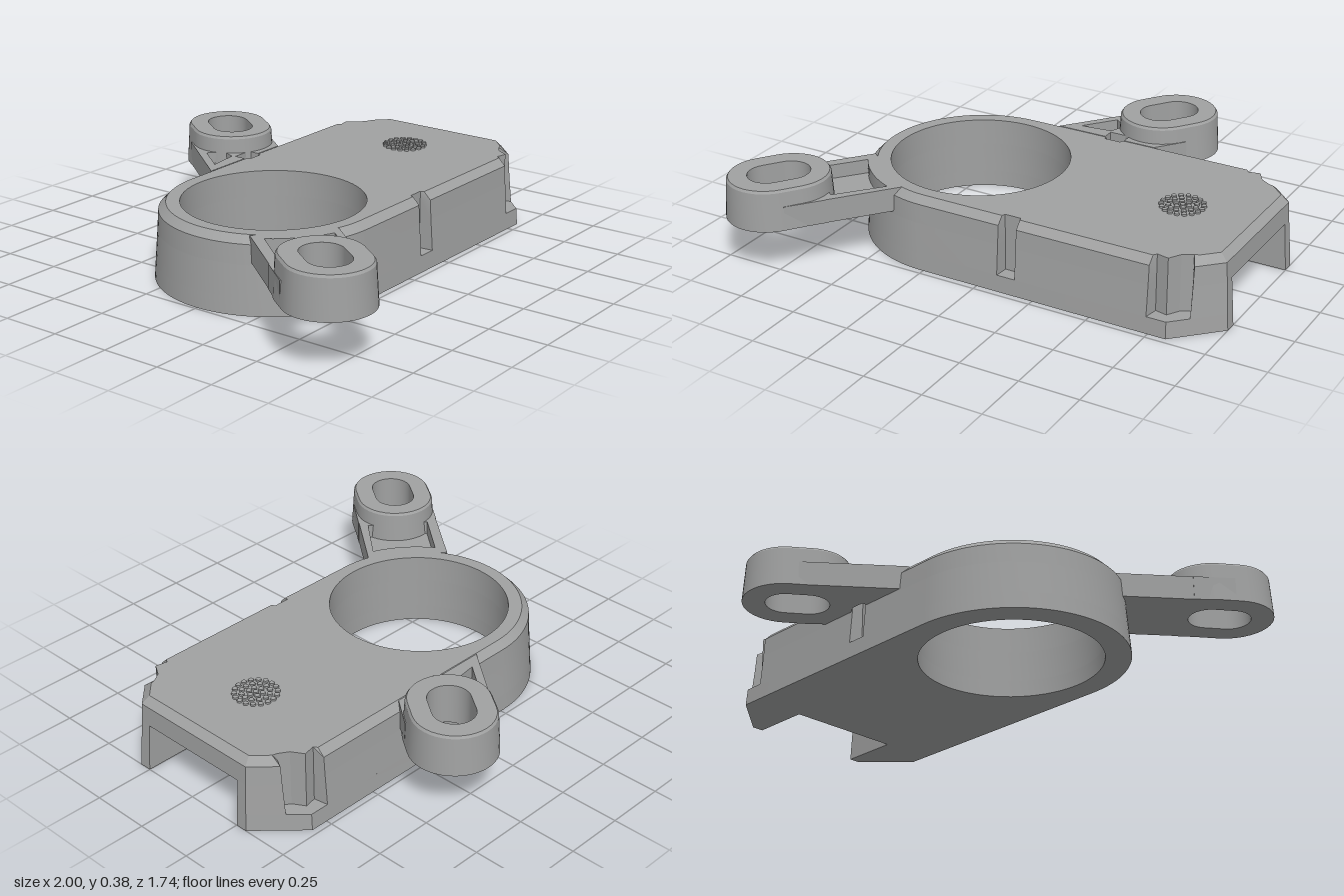
import * as THREE from 'three';
import { toCreasedNormals } from 'three/addons/utils/BufferGeometryUtils.js';

const grey = new THREE.MeshStandardMaterial({ color: 0xa0a1a1 });
grey.name = 'plain grey';

const RING_X = -0.265, RING_R = 0.475, BORE_R = 0.37;

function oriented(pts, ccw) {
  const v = pts.map(([x, z]) => new THREE.Vector2(x, z));
  return THREE.ShapeUtils.isClockWise(v) === ccw ? v.reverse() : v;
}

// Solid from stacked outlines [{ y, outline, hole }] in the x-z plane, capped at both ends
function loft(name, layers) {
  const pos = [];
  const rings = layers.map(l => ({
    y: l.y,
    loops: [oriented(l.outline, true), ...(l.hole ? [oriented(l.hole, false)] : [])],
  }));
  const put = (p, y) => pos.push(p.x, y, p.y);
  for (let k = 0; k + 1 < rings.length; k++) {
    const lo = rings[k], hi = rings[k + 1];
    lo.loops.forEach((loop, h) => loop.forEach((a, i) => {
      const j = (i + 1) % loop.length, b = loop[j];
      const a1 = hi.loops[h][i], b1 = hi.loops[h][j];
      put(a, lo.y); put(a1, hi.y); put(b1, hi.y);
      put(a, lo.y); put(b1, hi.y); put(b, lo.y);
    }));
  }
  for (const [ring, up] of [[rings[0], false], [rings[rings.length - 1], true]]) {
    const all = ring.loops.flat();
    for (const f of THREE.ShapeUtils.triangulateShape(ring.loops[0], ring.loops.slice(1))) {
      const [a, b, c] = f.map(i => all[i]);
      const ccw = (b.x - a.x) * (c.y - a.y) - (b.y - a.y) * (c.x - a.x) > 0;
      (ccw === up ? [a, c, b] : [a, b, c]).forEach(p => put(p, ring.y));
    }
  }
  const geo = new THREE.BufferGeometry();
  geo.setAttribute('position', new THREE.Float32BufferAttribute(pos, 3));
  const mesh = new THREE.Mesh(toCreasedNormals(geo, 0.4), grey);
  mesh.name = name;
  return mesh;
}

function arc(cx, cz, r, from, to, n) {
  return Array.from({ length: n + 1 }, (_, i) => {
    const t = from + (to - from) * i / n;
    return [cx + r * Math.cos(t), cz + r * Math.sin(t)];
  });
}

// Body outline moved inward by o, with optional side notches and end slot
function bodyOutline(o, notched, slotted) {
  const side = RING_R - o;
  const half = [];
  if (slotted) half.push([0.75, 0.25], [1 - o, 0.25]);
  half.push([1 - o, 0.3 - 0.414 * o]);
  if (notched) {
    half.push([0.89, 0.41 - 1.414 * o], [0.87, 0.345], [0.83, 0.37], [0.8, 0.42],
      [0.75, 0.41], [0.74, side],
      [0.17, side], [0.165, 0.41], [0.095, 0.41], [0.09, side]);
  } else half.push([0.825 - 0.414 * o, side]);
  half.push(...arc(RING_X, 0, side, Math.PI / 2, Math.PI, 24));
  const mirror = half.slice(0, -1).reverse().map(([x, z]) => [x, -z]);
  return [...half, ...mirror];
}

function bodySlab(name, steps, notched, slotted) {
  const hole = arc(RING_X, 0, BORE_R, 0, Math.PI * 2, 64).slice(0, -1);
  return loft(name, steps.map(([y, o]) => ({ y, outline: bodyOutline(o, notched, slotted), hole })));
}

// Rounded slot outline around two centres
function stadium([ax, az], [bx, bz], r) {
  const t = Math.atan2(bz - az, bx - ax);
  return [...arc(bx, bz, r, t - Math.PI / 2, t + Math.PI / 2, 20),
    ...arc(ax, az, r, t + Math.PI / 2, t + Math.PI * 1.5, 20)];
}

function ear(name, a, b) {
  const hole = stadium(a, b, 0.085);
  return loft(name, [[0.21, 0.177], [0.37, 0.167], [0.38, 0.16]]
    .map(([y, r]) => ({ y, outline: stadium(a, b, r), hole })));
}

// Arm with a solid floor and a raised rim around a pocket
function arm(name, outline, pocket, earHole) {
  const g = new THREE.Group();
  g.name = name;
  g.add(loft(name + 'Floor', [{ y: 0.21, outline }, { y: 0.25, outline }]));
  g.add(loft(name + 'Rim', [{ y: 0.25, outline, hole: pocket }, { y: 0.31, outline, hole: pocket }]));
  return g;
}

export function createModel() {
  const model = new THREE.Group();
  model.name = 'mountingBracket';

  // Main body: plain foot, notched middle, bevelled top
  model.add(
    bodySlab('bodyFoot', [[0, 0], [0.07, 0.005]], false, true),
    bodySlab('bodyMiddle', [[0.07, 0.005], [0.2, 0.015]], true, true),
    bodySlab('bodyTop', [[0.2, 0.015], [0.28, 0.02], [0.31, 0.05]], true, false),
  );

  // Slotted ears
  model.add(
    ear('frontEar', [-0.775, 0.62], [-0.825, 0.69]),
    ear('backEar', [0.245, -0.625], [0.295, -0.695]),
  );

  // Front arm, in a frame of distance along (u) and across (v) its axis
  const at = (u, v) => [-0.8 - 0.62 * u + 0.785 * v, 0.655 + 0.785 * u + 0.62 * v];
  const ringEdge = arc(RING_X, 0, 0.465, Math.atan2(0.43, -0.175), Math.atan2(0.26, -0.385), 8);
  const frontOutline = [at(-0.45, -0.172), at(-0.45, 0.172), at(-0.14, 0.172), at(-0.14, -0.172)];
  const frontPocket = [...ringEdge, at(-0.17, -0.13), at(-0.17, 0.135)];
  model.add(arm('frontArm', frontOutline, frontPocket));
  // Cheeks joining the arm to the ear, kept clear of the ear slot
  for (const s of [-1, 1]) {
    const cheek = [at(-0.14, s * 0.1), at(-0.14, s * 0.174), at(0.03, s * 0.174), at(0.03, s * 0.1)];
    model.add(loft('frontCheek', [{ y: 0.21, outline: cheek }, { y: 0.31, outline: cheek }]));
  }

  // Back arm, cut around the ear slot and the side notch
  const backOutline = [[0.133, -0.769], [-0.135, -0.43], [0.085, -0.43], [0.085, -0.48],
    [0.175, -0.48], [0.175, -0.43], [0.314, -0.43], [0.407, -0.55],
    [0.33, -0.53], [0.245, -0.515], [0.15, -0.57], [0.15, -0.66]];
  const backPocket = [[-0.055, -0.478], [0.05, -0.61], [0.105, -0.56], [0.08, -0.495]];
  model.add(arm('backArm', backOutline, backPocket));

  // Round raised texture of small studs on the top face
  const badge = new THREE.Group();
  badge.name = 'studdedDisc';
  badge.position.set(0.655, 0.313, 0);
  const stud = new THREE.CylinderGeometry(0.011, 0.011, 0.01, 8);
  for (let ring = 0; ring < 4; ring++) {
    const n = Math.max(1, ring * 6);
    for (let i = 0; i < n; i++) {
      const m = new THREE.Mesh(stud, grey);
      const t = i / n * Math.PI * 2;
      m.name = 'stud';
      m.position.set(Math.cos(t) * ring * 0.028, 0, Math.sin(t) * ring * 0.028);
      badge.add(m);
    }
  }
  model.add(badge);
  return model;
}
